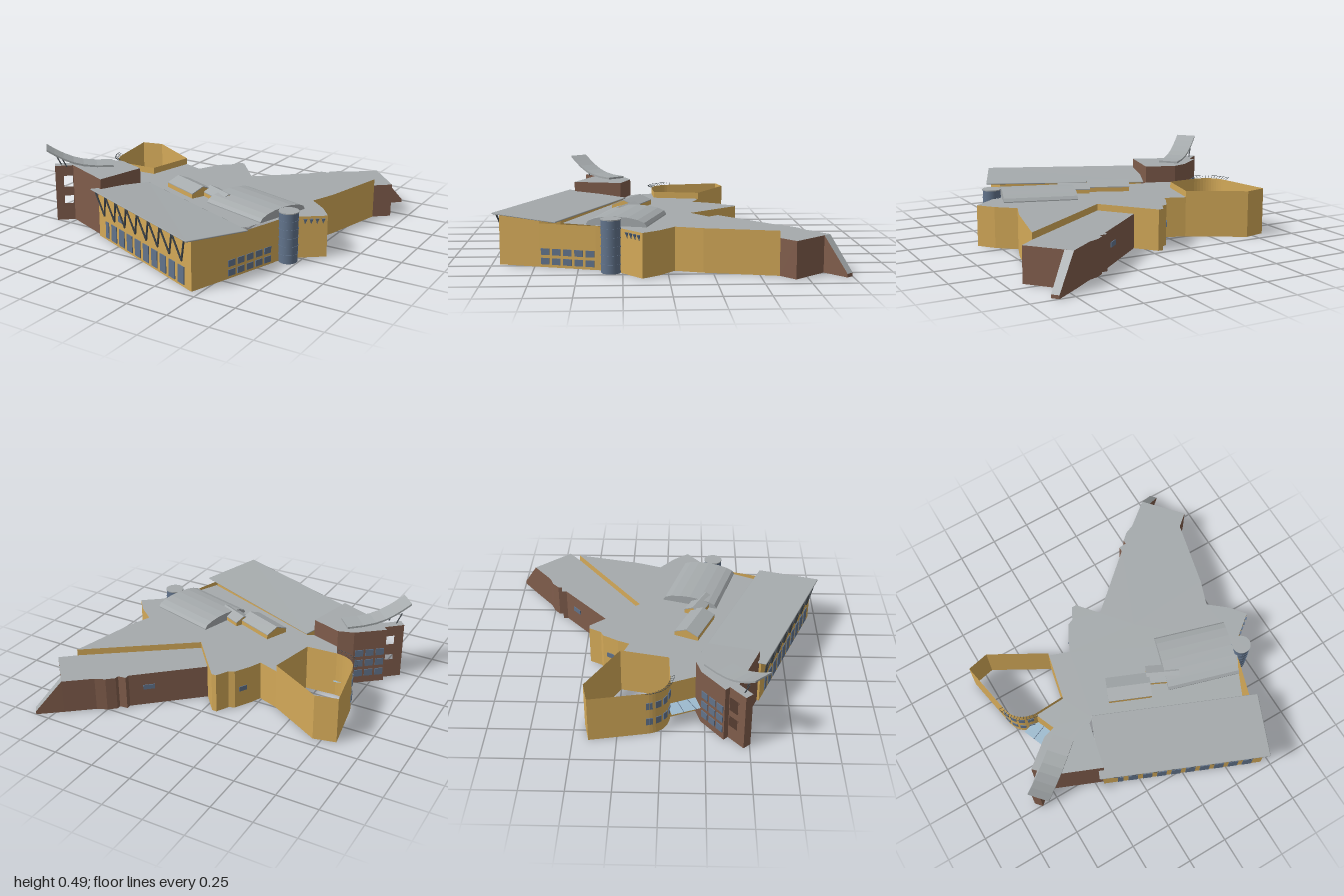
import * as THREE from 'three';

const mat = (name, color) => {
  const m = new THREE.MeshStandardMaterial({ color, side: THREE.DoubleSide });
  m.name = name;
  return m;
};

export function createModel() {
  const root = new THREE.Group();
  const ochre = mat('ochreWall', 0xd3a958), brown = mat('brownWall', 0x7f5c4b);
  const grey = mat('greyRoof', 0xa5aaac), slate = mat('slateGlass', 0x61738b);
  const pale = mat('paleGlass', 0x9dbace), steel = mat('darkSteel', 0x434a50);

  const add = (name, geo, m) => {
    const mesh = new THREE.Mesh(geo, m);
    mesh.name = name;
    root.add(mesh);
    return mesh;
  };
  const triangles = (list) => {
    const g = new THREE.BufferGeometry();
    g.setAttribute('position', new THREE.Float32BufferAttribute(list.flat(), 3));
    g.computeVertexNormals();
    return g;
  };
  // Plan points [x, z, top]; top falls back to the given height
  const walls = (name, pts, h, m, closed = true) => {
    const t = [];
    for (let i = 0; i < pts.length - (closed ? 0 : 1); i++) {
      const [x, z, p = h] = pts[i], [u, w, q = h] = pts[(i + 1) % pts.length];
      t.push([x, 0, z], [u, 0, w], [u, q, w], [x, 0, z], [u, q, w], [x, p, z]);
    }
    return add(name, triangles(t), m);
  };
  const cap = (name, pts, h, m) => {
    const v = pts.map(([x, z]) => new THREE.Vector2(x, z));
    const t = [];
    THREE.ShapeUtils.triangulateShape(v, []).forEach((f) => {
      const p = f.map((i) => [pts[i][0], pts[i][2] ?? h, pts[i][1]]);
      const up = (p[1][2] - p[0][2]) * (p[2][0] - p[0][0]) - (p[1][0] - p[0][0]) * (p[2][2] - p[0][2]);
      t.push(...(up > 0 ? p : [p[0], p[2], p[1]]));
    });
    return add(name, triangles(t), m);
  };
  // Thin pane on the outer side of the wall from a to b, at fraction f
  const pane = (name, a, b, f, y, w, h) => {
    const dx = b[0] - a[0], dz = b[1] - a[1];
    const p = add(name, new THREE.BoxGeometry(w, h, 0.005).translate(0, 0, 0.0035), slate);
    p.position.set(a[0] + dx * f, y, a[1] + dz * f);
    p.rotation.y = Math.atan2(-dz, dx);
  };
  const bar = (name, a, b, r, m = steel) => {
    const A = new THREE.Vector3(...a), B = new THREE.Vector3(...b);
    const s = add(name, new THREE.CylinderGeometry(r, r, A.distanceTo(B), 6), m);
    s.position.copy(A).add(B).multiplyScalar(0.5);
    s.quaternion.setFromUnitVectors(new THREE.Vector3(0, 1, 0), B.sub(A).normalize());
  };

  // Main hall: the roof stops short of the windowed side wall
  const main = [[-0.335, 0.24], [-0.37, 0.26], [-0.56, 0.195], [-0.62, 0.05], [-0.43, 0.04], [-0.367, -0.25],
    [-0.24, -0.205], [-0.21, -0.275], [-0.155, -0.37], [-0.12, -0.385], [-0.08, -0.46], [-0.05, -0.46],
    [0.05, -0.34], [0.2, -0.16], [0.815, -0.605], [0.72, -0.195], [0.665, -0.04], [0.775, 0.05],
    [0.85, 0.145], [0.69, 0.27], [0.64, 0.36]];
  const sideA = [0.53, 0.72], sideB = [0.63, 0.4];
  walls('mainWalls', [...main.slice(2), sideB, sideA], 0.25, ochre, false);
  cap('mainRoof', [...main, [0.594, 0.44], [0.525, 0.59]], 0.25, grey);
  pane('rearWindow', main[8], main[7], 0.5, 0.12, 0.05, 0.03);

  // Front block with a tilted roof
  const fl = [-0.455, 0.575], fr = [0.455, 0.955];
  walls('frontWalls', [[...fl, 0.292], [...fr, 0.292], [...sideA, 0.272], [0.525, 0.6, 0.262],
    [-0.33, 0.25, 0.262]], 0.29, ochre);
  const eaves = [[-0.49, 0.6, 0.3], [0.45, 0.995, 0.3], [0.604, 0.63, 0.272], [-0.335, 0.232, 0.267]];
  cap('frontRoof', eaves, 0.3, grey);
  cap('frontSoffit', eaves.map(([x, z, y]) => [x, z, y - 0.008]), 0.29, grey);
  eaves.forEach((e, i) => {
    const n = eaves[(i + 1) % 4];
    bar('roofEdge', [e[0], e[2] - 0.004, e[1]], [n[0], n[2] - 0.004, n[1]], 0.004, grey);
  });
  // Front windows, measured along x
  const fx = (x) => (x - fl[0]) / (fr[0] - fl[0]);
  for (let i = 0; i < 9; i++) pane('frontWindow', fl, fr, fx(-0.287 + i * 0.082), 0.068, 0.058, 0.102);
  pane('narrowWindow', fl, fr, fx(-0.36), 0.068, 0.033, 0.102);
  pane('smallWindow', fl, fr, fx(-0.215), 0.182, 0.046, 0.035);
  // Zigzag struts under the eaves
  const wallZ = (x) => fl[1] + fx(x) * (fr[1] - fl[1]);
  for (let i = 0; i < 8; i++) {
    const x = -0.388 + i * 0.109, foot = [x, 0.15, wallZ(x) + 0.006];
    [-0.053, 0.053].forEach((d) => bar('eavesStrut', foot, [x + d - 0.005, 0.29, wallZ(x + d) + 0.032], 0.0055));
  }
  // Two rows of side windows
  for (let i = 0; i < 5; i++) {
    for (const y of [0.035, 0.09]) pane('sideWindow', sideA, sideB, 0.1 + i * 0.2, y, 0.05, 0.037);
  }

  // Round stair tower
  const drum = (name, r, h, y, m) => {
    add(name, new THREE.CylinderGeometry(r, r, h, 24), m).position.set(0.69, y, 0.315);
  };
  drum('stairTower', 0.055, 0.3, 0.15, slate);
  drum('towerRoof', 0.058, 0.006, 0.3, grey);
  for (let i = 1; i <= 5; i++) drum('towerBand', 0.0575, 0.005, i * 0.05, slate);
  // Small wedge lights beside the tower
  for (let i = 0; i < 4; i++) {
    const f = 0.36 + i * 0.17;
    const c = add('wedgeLight', new THREE.ConeGeometry(0.014, 0.034, 4), slate);
    c.position.set(0.69 + 0.16 * f, 0.218, 0.27 - 0.125 * f);
    c.rotation.x = Math.PI;
  }

  // Barrel vault on the roof
  const vault = new THREE.Shape();
  vault.moveTo(-0.176, 0);
  for (let i = 0; i <= 8; i++) {
    const a = Math.PI * (1 - i / 8);
    vault.lineTo(0.176 * Math.cos(a), 0.006 + 0.047 * Math.sin(a));
  }
  vault.lineTo(0.176, 0);
  const ridge = (name, shape, x, z, len, m, angle) => {
    const g = new THREE.ExtrudeGeometry(shape, { depth: len, bevelEnabled: false });
    g.translate(0, 0, -len / 2).rotateY(Math.PI / 2);
    const r = add(name, g, m);
    r.position.set(x, 0.251, z);
    r.rotation.y = angle;
  };
  ridge('barrelVault', vault, 0.4225, 0.222, 0.45, grey, -0.29);
  // Gabled skylights: ochre body and two roof slopes
  const gable = (x, z, len, w, h, angle) => {
    const base = h * 0.45;
    const outline = (list) => new THREE.Shape(list.map((p) => new THREE.Vector2(...p)));
    const body = outline([[-w, 0], [w, 0], [w, base], [0, h], [-w, base]]);
    const top = outline([[-w, base], [0, h], [w, base], [w, base + 0.005], [0, h + 0.005], [-w, base + 0.005]]);
    ridge('skylightBody', body, x, z, len, ochre, angle);
    ridge('skylightRoof', top, x, z, len + 0.004, grey, angle);
  };
  gable(-0.05, 0.19, 0.265, 0.077, 0.058, -0.4);
  gable(0.175, 0.22, 0.2, 0.057, 0.05, -0.45);

  // Brown rear wing with a lower roof
  const wing = [[0.815, -0.605], [0.905, -0.68], [0.71, -0.9], [0.56, -0.78], [0.5, -0.755], [0.455, -0.715],
    [0.455, -0.69], [0.405, -0.685], [0.405, -0.655], [0.05, -0.34]];
  walls('wingWalls', wing, 0.21, brown, false);
  cap('wingRoof', [...wing, [0.2, -0.16]], 0.21, grey);
  pane('wingWindow', wing[8], wing[9], 0.25, 0.12, 0.07, 0.03);
  const fin = [[0.71, -0.9, 0.21], [0.84, -1, 0.02], [0.87, -0.965, 0.02], [0.745, -0.86, 0.21]];
  walls('rampFinWalls', fin, 0.2, brown);
  cap('rampFinTop', fin, 0.2, grey);

  // Brown west block
  const H = 0.357;
  const west = [[-0.765, 0.432], [-0.79, 0.38], [-0.815, 0.355], [-0.655, 0.225], [-0.56, 0.195], [-0.375, 0.26], [-0.445, 0.565]];
  walls('westWalls', west, H, brown);
  cap('westRoof', west, H, grey);
  // Open loggia at its end
  const loggia = [west[0], [-0.85, 0.505], [-0.885, 0.465], west[1]];
  cap('loggiaRoof', loggia, H, grey);
  walls('loggiaEnd', [loggia[1], loggia[2]], H, brown, false);
  const holed = (name, a, b, f0, f1) => {
    const len = Math.hypot(b[0] - a[0], b[1] - a[1]);
    const rect = (x0, x1, y0, y1) => [[x0, y0], [x1, y0], [x1, y1], [x0, y1]].map((p) => new THREE.Vector2(...p));
    const s = new THREE.Shape(rect(0, len, 0, H));
    for (const [y0, y1] of [[0.09, 0.16], [0.2, 0.29]]) {
      s.holes.push(new THREE.Path(rect(f0 * len, f1 * len, y0, y1).reverse()));
    }
    const w = add(name, new THREE.ShapeGeometry(s), brown);
    w.position.set(a[0], 0, a[1]);
    w.rotation.y = Math.atan2(a[1] - b[1], b[0] - a[0]);
  };
  holed('loggiaSide', loggia[1], loggia[0], 0.33, 0.96);
  holed('loggiaRear', loggia[2], loggia[3], 0.4, 0.96);

  // Upswept canopy
  const prof = [[0, 0.48], [0.12, 0.448], [0.25, 0.418], [0.4, 0.391], [0.55, 0.374], [0.75, 0.364], [1, 0.362]];
  const sweep = new THREE.Shape();
  prof.forEach(([t, y], i) => (i ? sweep.lineTo(t * 0.404, y) : sweep.moveTo(0, y)));
  [...prof].reverse().forEach(([t, y]) => sweep.lineTo(t * 0.404, y + 0.012));
  const canopy = add('sweptCanopy', new THREE.ExtrudeGeometry(sweep, { depth: 0.128, bevelEnabled: false }), grey);
  canopy.position.set(-0.909, 0, 0.505);
  canopy.rotation.y = 0.715;
  for (const [x, z] of [[-0.78, 0.475], [-0.835, 0.46]]) {
    bar('canopyProp', [x, H, z], [x - 0.025, 0.425, z + 0.022], 0.004);
  }

  // Curved pavilion, open on top
  const arc = new THREE.QuadraticBezierCurve(new THREE.Vector2(-0.62, 0.05), new THREE.Vector2(-0.755, 0.04),
    new THREE.Vector2(-0.775, -0.085)).getPoints(12).map((p) => [p.x, p.y]);
  walls('pavilionWalls', [main[5], main[4], ...arc, [-0.835, -0.41], [-0.7, -0.44]], 0.29, ochre);
  // Louvre ring and windows round the curve
  const outer = arc.map(([x, z]) => {
    const d = new THREE.Vector2(x + 0.62, z + 0.1).normalize().multiplyScalar(0.025);
    return [x + d.x, z + d.y];
  });
  arc.forEach((p, i) => {
    const q = arc[i + 1], o = outer[i];
    bar('louvreBar', [p[0], 0.293, p[1]], [o[0], 0.303, o[1]], 0.0012);
    if (q) {
      bar('louvreRail', [o[0], 0.303, o[1]], [outer[i + 1][0], 0.303, outer[i + 1][1]], 0.0012);
      if (i % 3) for (const y of [0.09, 0.2]) pane('curvedWindow', q, p, 0.5, y, 0.018, 0.045);
    }
  });

  // Low glass canopy and windows beside the entrance
  const link = [[-0.725, 0.06], [-0.615, 0.03], [-0.56, 0.195], [-0.645, 0.26]];
  cap('glassCanopy', link, 0.1, pale);
  for (const f of [0.35, 0.7]) {
    bar('canopyMullion', [-0.725 + 0.08 * f, 0.1, 0.06 + 0.2 * f], [-0.615 + 0.055 * f, 0.1, 0.03 + 0.165 * f], 0.002, slate);
  }
  for (let i = 0; i < 3; i++) {
    for (const y of [0.07, 0.14, 0.21]) pane('westWindow', west[3], west[2], 0.18 + i * 0.32, y, 0.052, 0.045);
  }
  return root;
}
